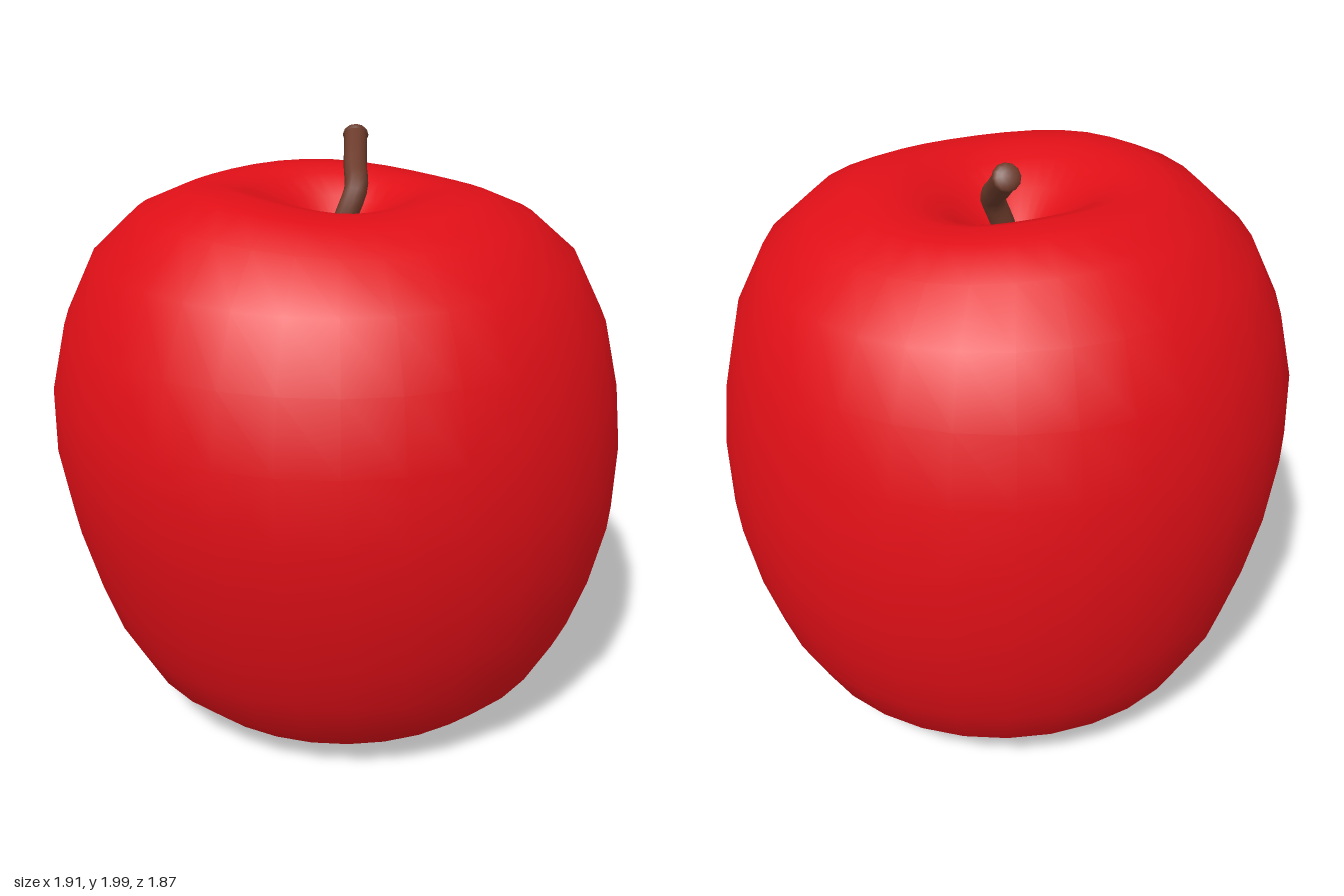
import * as THREE from 'three';
import { mergeVertices } from 'three/addons/utils/BufferGeometryUtils.js';

const material = (color) => new THREE.MeshStandardMaterial({ color, roughness: 0.8 });
const { lerp, smoothstep } = THREE.MathUtils;

// Profile of the fruit as [radius, height], from the bottom dimple up to the stem cavity
const PROFILE = [
  [0, 0.15], [0.06, 0.14], [0.15, 0.1], [0.26, 0.04], [0.37, 0.008], [0.49, 0.02], [0.625, 0.09],
  [0.74, 0.2], [0.83, 0.37], [0.888, 0.55], [0.938, 0.77], [0.957, 1.0], [0.942, 1.22],
  [0.89, 1.44], [0.79, 1.64], [0.64, 1.775], [0.5, 1.835], [0.38, 1.843], [0.28, 1.82],
  [0.19, 1.765], [0.1, 1.69], [0.04, 1.645], [0, 1.64],
];

function fruitGeometry() {
  const points = PROFILE.map(([r, y]) => new THREE.Vector2(r, y));
  let geometry = new THREE.LatheGeometry(points, 32);
  geometry.deleteAttribute('uv');
  geometry.deleteAttribute('normal');
  geometry = mergeVertices(geometry, 1e-4);

  // Lean the body a little and raise soft, uneven lobes round the cavity
  const p = geometry.attributes.position;
  for (let i = 0; i < p.count; i++) {
    const x = p.getX(i), y = p.getY(i), z = p.getZ(i);
    const angle = Math.atan2(z, x);
    const r = Math.hypot(x, z);
    const rim = smoothstep(y, 1.5, 1.8) * smoothstep(r, 0.05, 0.35);
    const lobes = 0.012 * Math.cos(3 * angle - 1.2) - 0.014 * Math.cos(angle);
    const cavity = smoothstep(y, 1.6, 1.64) * (1 - smoothstep(r, 0.1, 0.45));
    p.setXYZ(
      i,
      x + lerp(0.012, -0.02, smoothstep(y, 0.6, 1.25)),
      y + rim * lobes,
      z * 0.975 + lerp(-0.04, 0.01, smoothstep(y, 0, 1.3)) - 0.06 * cavity,
    );
  }
  geometry.computeVertexNormals();
  return geometry;
}

export function createModel() {
  const group = new THREE.Group();
  const add = (name, geometry, mat) => {
    const mesh = new THREE.Mesh(geometry, mat);
    mesh.name = name;
    group.add(mesh);
    return mesh;
  };

  add('fruitBody', fruitGeometry(), material(0xe00f17));

  // Bent stem with a blunt, slightly swollen tip
  const brown = material(0x6b3a2a);
  const path = new THREE.CatmullRomCurve3([
    [-0.02, 1.62, -0.055], [0.015, 1.73, -0.05], [0.05, 1.82, -0.075],
    [0.05, 1.88, -0.155], [0.055, 1.963, -0.285],
  ].map((c) => new THREE.Vector3(...c)));
  add('stem', new THREE.TubeGeometry(path, 16, 0.039, 10), brown);
  const tip = add('stemTip', new THREE.SphereGeometry(0.044, 12, 8), brown);
  tip.position.copy(path.getPoint(1));
  tip.scale.set(1, 0.45, 1);
  tip.quaternion.setFromUnitVectors(new THREE.Vector3(0, 1, 0), path.getTangent(1));

  // Dark dried blossom end in the bottom dimple
  const calyx = add('calyx', new THREE.ConeGeometry(0.035, 0.06, 8), material(0x1f1a16));
  calyx.position.set(0.012, 0.135, -0.04);
  calyx.rotation.x = Math.PI;

  return group;
}
